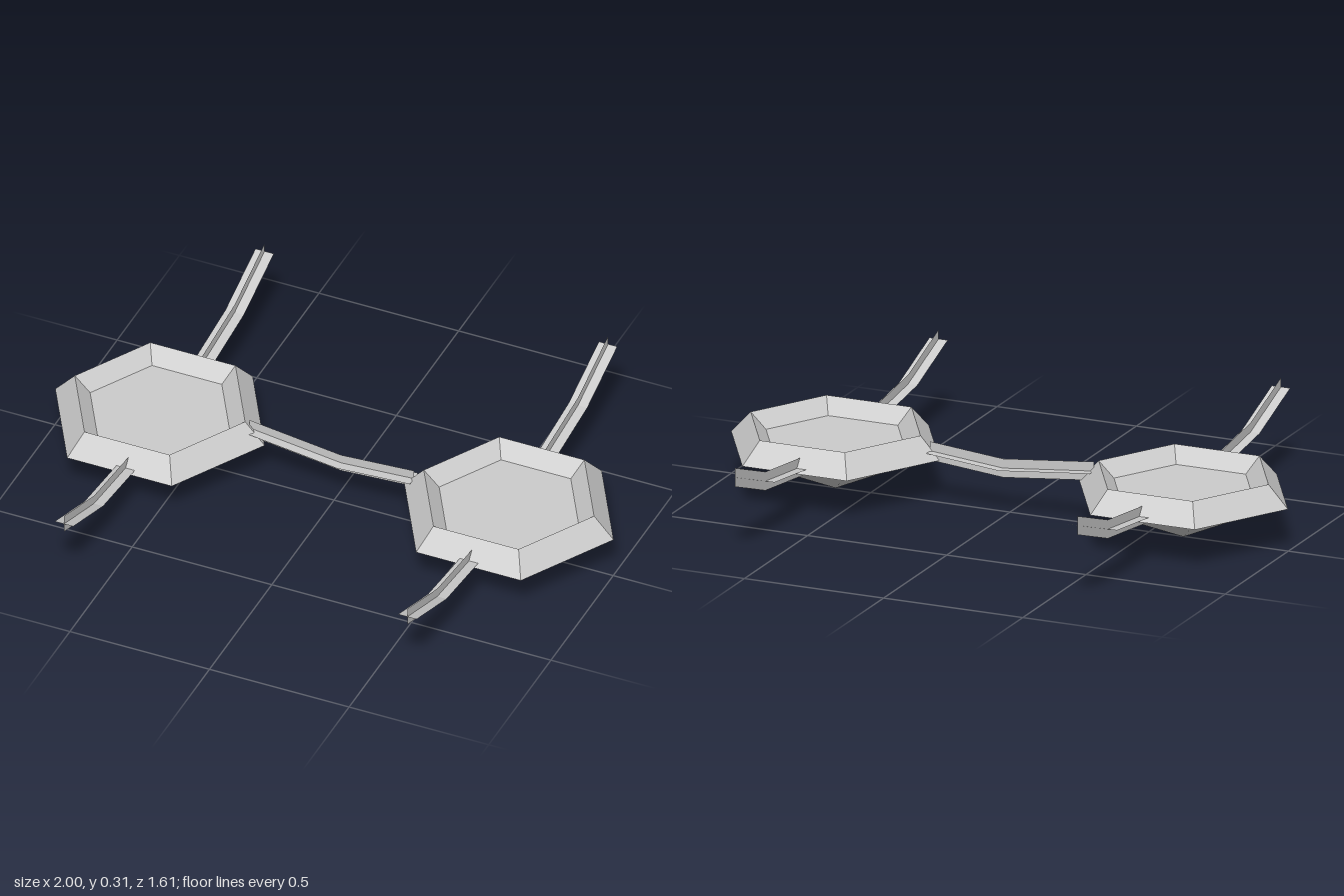
import * as THREE from 'three';

const material = new THREE.MeshStandardMaterial({ color: 0xcccccc, flatShading: true, side: THREE.DoubleSide });

// Flat ribbon along a path, widened in one direction
function ribbon(path, across, half) {
  const positions = [];
  const index = [];
  path.forEach((p, i) => {
    for (const s of [1, -1]) positions.push(...p.clone().addScaledVector(across, s * half).toArray());
    if (i > 0) {
      const a = 2 * i - 2;
      index.push(a, a + 1, a + 2, a + 1, a + 3, a + 2);
    }
  });
  const geometry = new THREE.BufferGeometry();
  geometry.setAttribute('position', new THREE.Float32BufferAttribute(positions, 3));
  geometry.setIndex(index);
  geometry.computeVertexNormals();
  return geometry;
}

// Chain strip: a horizontal and a vertical ribbon crossing along the path
function crossedStrip(name, points, side) {
  const path = points.map((p) => new THREE.Vector3(...p));
  const group = new THREE.Group();
  group.name = name;
  const flat = new THREE.Mesh(ribbon(path, side, 0.033), material);
  flat.name = name + 'Flat';
  const upright = new THREE.Mesh(ribbon(path, new THREE.Vector3(0, 1, 0), 0.032), material);
  upright.name = name + 'Upright';
  group.add(flat, upright);
  return group;
}

export function createModel() {
  const model = new THREE.Group();
  model.name = 'linkedHexagons';

  // Hexagonal dish: pointed underside, bevelled rim and shallow recessed floor
  const profile = [[0, 0], [0.25, 0.11], [0.375, 0.145], [0.305, 0.221], [0.25, 0.168], [0, 0.168]]
    .map(([r, y]) => new THREE.Vector2(r, y));
  const dishGeometry = new THREE.LatheGeometry(profile, 6, Math.PI / 2);

  for (const [label, x, armX] of [['right', -0.625, -0.608], ['left', 0.625, 0.622]]) {
    const dish = new THREE.Mesh(dishGeometry, material);
    dish.name = label + 'Dish';
    dish.position.set(x, 0, -0.003);
    model.add(dish);

    // Rising arms at the front and back of each dish
    for (const [end, s] of [['Front', 1], ['Back', -1]]) {
      const points = [[armX, 0.152, s * 0.25], [armX, 0.19, s * 0.565], [armX, 0.274, s * 0.806]];
      model.add(crossedStrip(label + end + 'Arm', points, new THREE.Vector3(1, 0, 0)));
    }
  }

  // Sagging strip between the dishes
  const connector = [[-0.31, 0.188, -0.018], [0.02, 0.152, -0.011], [0.285, 0.174, -0.004]];
  model.add(crossedStrip('connector', connector, new THREE.Vector3(0, 0, 1)));

  return model;
}
